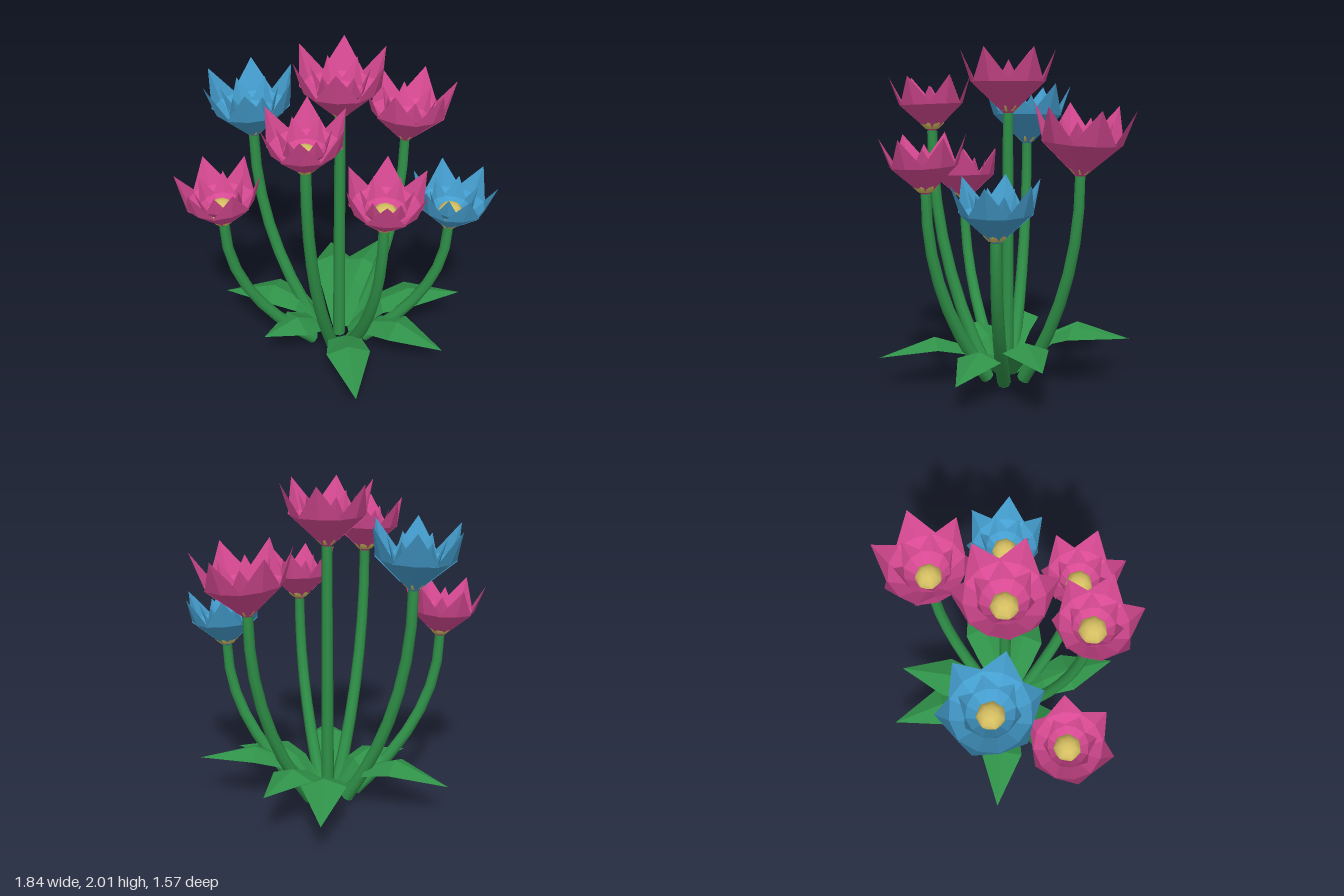
import * as THREE from 'three';

const mat = (name, color) => {
  const m = new THREE.MeshStandardMaterial({ color, side: THREE.DoubleSide });
  m.name = name;
  return m;
};

// Folded blade running along +x: rows of [x, y, halfWidth, edgeInset, edgeDrop], ending in a point
function bladeGeometry(rows, tip) {
  const pos = [], index = [];
  for (const [x, y, w, inset, drop] of rows) {
    pos.push(x - inset, y - drop, w, x, y, 0, x - inset, y - drop, -w);
  }
  pos.push(...tip, 0);
  const last = (rows.length - 1) * 3, end = rows.length * 3;
  for (let r = 0; r < last; r += 3) {
    for (let c = r; c < r + 2; c++) index.push(c, c + 3, c + 1, c + 1, c + 3, c + 4);
  }
  index.push(last, end, last + 1, last + 1, end, last + 2);
  const g = new THREE.BufferGeometry();
  g.setAttribute('position', new THREE.Float32BufferAttribute(pos, 3));
  g.setIndex(index);
  const flat = g.toNonIndexed();
  flat.computeVertexNormals();
  return flat;
}

// Tube that thins toward its upper end
function stemGeometry(curve, r0, r1) {
  const segs = 7, sides = 8;
  const g = new THREE.TubeGeometry(curve, segs, 1, sides, false);
  const p = g.attributes.position, v = new THREE.Vector3();
  for (let i = 0; i <= segs; i++) {
    const c = curve.getPointAt(i / segs), r = THREE.MathUtils.lerp(r0, r1, i / segs);
    for (let j = 0; j <= sides; j++) {
      const k = i * (sides + 1) + j;
      v.fromBufferAttribute(p, k).sub(c).multiplyScalar(r).add(c);
      p.setXYZ(k, v.x, v.y, v.z);
    }
  }
  return g;
}

export function createModel() {
  const model = new THREE.Group();
  model.name = 'flowerBunch';
  const green = mat('leaf green', 0x2f9148);
  const pink = mat('petal pink', 0xd94a94);
  const blue = mat('petal blue', 0x459fd0);
  const yellow = mat('centre yellow', 0xd6bf62);
  const add = (parent, name, geo, material) => {
    const m = new THREE.Mesh(geo, material);
    m.name = name;
    parent.add(m);
    return m;
  };

  const petalGeo = bladeGeometry([
    [0.027, 0, 0.016, 0.003, 0],
    [0.222, 0.185, 0.127, 0.028, 0],
  ], [0.285, 0.38]);
  const heartGeo = new THREE.SphereGeometry(0.085, 7, 6);
  const up = new THREE.Vector3(0, 1, 0);
  const root = new THREE.Vector3(0.04, 0.02, 0);

  // x, base height, z, size, petal phase in degrees, outward tilt, colour
  const flowers = [
    [0.04, 1.62, -0.01, 1, 78, 0, pink],
    [-0.45, 1.41, -0.25, 1, 84, 0.05, blue],
    [-0.66, 1.03, 0.13, 0.88, 49, 0.06, pink],
    [-0.20, 1.51, 0.41, 0.87, 80, 0.04, pink],
    [0.22, 1.17, 0.51, 0.87, 80, 0.06, pink],
    [0.67, 0.95, 0.20, 0.88, 95, 0.06, blue],
    [0.49, 1.28, -0.32, 1.02, 0, 0.08, pink],
  ];
  for (const [x, y, z, size, phase, tilt, color] of flowers) {
    const flower = new THREE.Group();
    flower.name = 'flower';
    model.add(flower);

    // Stem bending outward from the root, then rising
    const top = new THREE.Vector3(x, y, z);
    const foot = root.clone().lerp(top, 0.25).setY(0.02);
    const bend = foot.clone().lerp(top, 1.02).setY(y * 0.48);
    const curve = new THREE.QuadraticBezierCurve3(foot, bend, top);
    add(flower, 'stem', stemGeometry(curve, 0.041, 0.031), green);
    const cap = add(flower, 'stemEnd', new THREE.CircleGeometry(0.041, 8), green);
    cap.position.copy(foot);
    cap.lookAt(foot.clone().sub(curve.getTangentAt(0)));

    // Head with two rings of six petals around a round centre
    const head = new THREE.Group();
    head.name = 'head';
    head.position.copy(top);
    const out = top.clone().sub(root).setY(0).normalize();
    head.quaternion.setFromUnitVectors(up, out.multiplyScalar(Math.tan(tilt)).add(up).normalize());
    flower.add(head);
    for (let i = 0; i < 6; i++) {
      const a = THREE.MathUtils.degToRad(phase + i * 60);
      const outer = add(head, 'outerPetal', petalGeo, color);
      outer.rotation.y = a;
      outer.scale.setScalar(size);
      const inner = add(head, 'innerPetal', petalGeo, color);
      inner.rotation.y = a + Math.PI / 6;
      inner.position.y = 0.02;
      inner.scale.set(0.6 * size, 0.76 * size, 0.62 * size);
    }
    add(head, 'flowerCentre', heartGeo, yellow).position.y = 0.085;
  }

  // Leaves: direction in degrees, length, ridge height, tip height
  const leaves = [
    [87, 0.79, 0.33, 0.20], [60, 0.73, 0.35, 0.30], [1, 0.80, 0.34, 0.27],
    [-35, 0.73, 0.27, 0.16], [-90, 0.78, 0.28, 0.17], [157, 0.79, 0.32, 0.20],
    [204, 0.55, 0.28, 0.22],
  ];
  for (const [deg, len, ridge, tipY] of leaves) {
    const geo = bladeGeometry([
      [0.06, 0.03, 0.04, 0, 0],
      [len * 0.34, ridge * 0.78, 0.105, 0, 0.03],
      [len * 0.57, ridge, 0.135, 0, 0.05],
    ], [len, tipY]);
    const leaf = add(model, 'leaf', geo, green);
    leaf.position.set(root.x, 0, 0);
    leaf.rotation.y = THREE.MathUtils.degToRad(deg);
  }
  return model;
}
